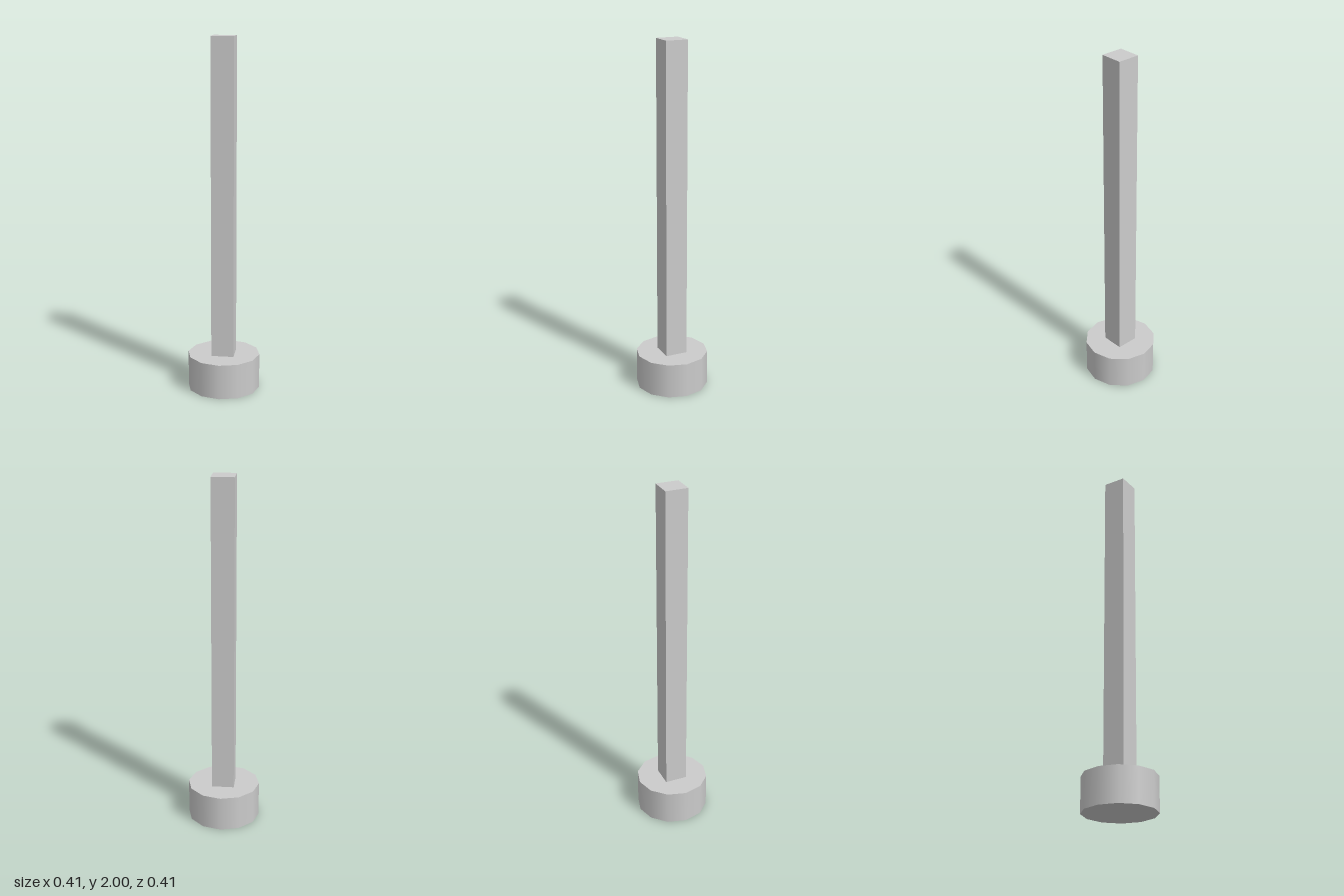
import * as THREE from 'three';

export function createModel() {
  const model = new THREE.Group();
  const material = new THREE.MeshStandardMaterial({ color: 0xcccccc });

  const baseRadius = 0.206, baseHeight = 0.2, postWidth = 0.127, totalHeight = 2;
  const postHeight = totalHeight - baseHeight;

  // Round twelve-sided foot, smooth around the rim
  const base = new THREE.Mesh(
    new THREE.CylinderGeometry(baseRadius, baseRadius, baseHeight, 12), material);
  base.name = 'base';
  base.position.y = baseHeight / 2;
  model.add(base);

  // Square upright standing on the foot
  const post = new THREE.Mesh(
    new THREE.BoxGeometry(postWidth, postHeight, postWidth), material);
  post.name = 'post';
  post.position.y = baseHeight + postHeight / 2;
  model.add(post);

  return model;
}
